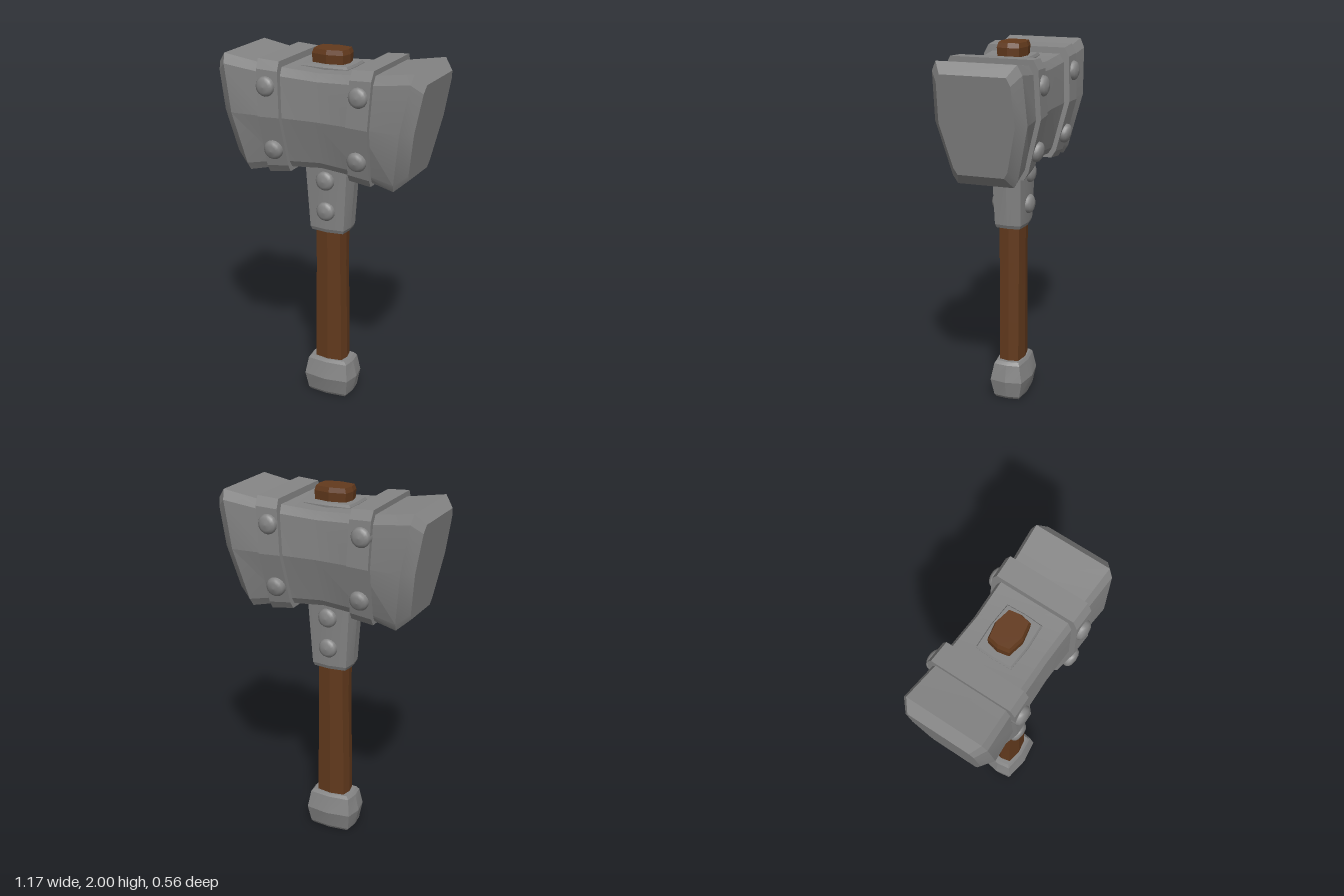
import * as THREE from 'three';
import { toCreasedNormals } from 'three/addons/utils/BufferGeometryUtils.js';

// Skin closed rings (counterclockwise about the travel axis) and cap both ends.
function loft(rings) {
  const n = rings[0].length;
  const pos = rings.flat(2);
  const index = [];
  for (let r = 0; r < rings.length - 1; r++) {
    for (let i = 0; i < n; i++) {
      const a = r * n + i, b = r * n + (i + 1) % n;
      index.push(a, b, b + n, a, b + n, a + n);
    }
  }
  const last = (rings.length - 1) * n;
  for (let i = 1; i < n - 1; i++) {
    index.push(0, i + 1, i, last, last + i, last + i + 1);
  }
  const g = new THREE.BufferGeometry();
  g.setAttribute('position', new THREE.Float32BufferAttribute(pos, 3));
  g.setIndex(index);
  return toCreasedNormals(g, 0.28);
}

// Horizontal rectangle with bowed sides: corners (cx, cz), middles (mx, mz).
function bowedRing([y, cx, mx, cz, mz]) {
  const s = -0.008;
  return [[0, mz], [cx, cz], [mx, 0], [cx, -cz], [0, -mz], [-cx, -cz], [-mx, 0], [-cx, cz]]
    .map(([x, z]) => [x + s, y, z]);
}

// Upright section of the head: height fraction and width fraction of one side.
const SECTION = [[1, 0.86], [0.92, 0.96], [0.52, 1], [0.065, 0.72], [0, 0.62]];

// Section leaning from xTop to xBottom.
function headRing([xTop, xBottom, top, bottom, w]) {
  const half = SECTION.map(([t, f]) => [t, f * w]);
  const mirror = half.map(([t, z]) => [t, -z]).reverse();
  return [...half, ...mirror].map(([t, z]) => [
    xBottom + (xTop - xBottom) * t - 0.008 * (1 - t),
    bottom + (top - bottom) * t,
    z,
  ]);
}

export function createModel() {
  const group = new THREE.Group();
  const metal = new THREE.MeshStandardMaterial({ color: 0x858585 });
  metal.name = 'grey metal';
  const wood = new THREE.MeshStandardMaterial({ color: 0x633a1d });
  wood.name = 'brown wood';

  function add(name, geometry, material) {
    const mesh = new THREE.Mesh(geometry, material);
    mesh.name = name;
    group.add(mesh);
    return mesh;
  }

  // Head: waisted in the middle, flared to bevelled striking faces
  const halfHead = [
    [0.587, 0.492, 1.905, 1.385, 0.2],
    [0.536, 0.42, 1.962, 1.322, 0.244],
    [0.27, 0.235, 1.92, 1.365, 0.226],
  ];
  const headRows = [
    ...halfHead.map(([a, b, ...rest]) => [-a, -b, ...rest]),
    [0, 0, 1.905, 1.385, 0.217],
    ...halfHead.slice().reverse(),
  ];
  add('head', loft(headRows.map(headRing)), metal);

  // Bands around the head
  const inner = [0.207, 0.172, 1.95, 1.348, 0.253];
  const outer = [0.327, 0.296, 1.957, 1.332, 0.257];
  const flip = ([a, b, ...rest]) => [-a, -b, ...rest];
  add('leftBand', loft([inner, outer].map(headRing)), metal);
  add('rightBand', loft([flip(outer), flip(inner)].map(headRing)), metal);

  // Wooden handle and its end showing above the head
  add('handle', loft([
    [0.18, 0.08, 0.092, 0.055, 0.069],
    [0.45, 0.078, 0.088, 0.055, 0.068],
    [0.8, 0.072, 0.082, 0.056, 0.069],
    [1.05, 0.073, 0.083, 0.058, 0.071],
  ].map(bowedRing)), wood);
  add('handleTip', loft([
    [1.88, 0.084, 0.098, 0.056, 0.074],
    [1.975, 0.09, 0.102, 0.062, 0.08],
    [2.0, 0.082, 0.092, 0.056, 0.072],
  ].map(bowedRing)), wood);

  // Plate on top of the head
  add('topPlate', loft([
    [1.88, 0.133, 0.138, 0.1, 0.107],
    [1.915, 0.133, 0.138, 0.1, 0.107],
    [1.928, 0.126, 0.131, 0.094, 0.101],
  ].map(bowedRing)), metal);

  // Collar under the head
  add('collar', loft([
    [1.0, 0.092, 0.1, 0.066, 0.078],
    [1.02, 0.1, 0.11, 0.073, 0.086],
    [1.41, 0.124, 0.138, 0.084, 0.1],
  ].map(bowedRing)), metal);

  // Pommel
  add('pommel', loft([
    [0, 0.108, 0.116, 0.066, 0.078],
    [0.015, 0.118, 0.128, 0.074, 0.087],
    [0.11, 0.132, 0.15, 0.092, 0.112],
    [0.205, 0.118, 0.128, 0.074, 0.087],
    [0.222, 0.104, 0.114, 0.064, 0.076],
  ].map(bowedRing)), metal);

  // Domed rivets, front and back: x, y, surface z, tilt
  const dome = [[0.053, -0.03], [0.053, 0.006], [0.046, 0.018], [0.03, 0.027], [0, 0.031]]
    .map(([r, h]) => new THREE.Vector2(r, h));
  const rivetGeometry = new THREE.LatheGeometry(dome, 16);
  const rivets = [
    [-0.272, 1.82, 0.249, 0], [0.254, 1.82, 0.249, 0],
    [-0.25, 1.475, 0.216, 0.2], [0.233, 1.475, 0.216, 0.2],
    [-0.008, 1.3, 0.094, 0], [-0.008, 1.125, 0.088, 0],
  ];
  for (const side of [1, -1]) {
    for (const [x, y, z, tilt] of rivets) {
      const rivet = add(side > 0 ? 'frontRivet' : 'backRivet', rivetGeometry, metal);
      rivet.position.set(x, y, z * side);
      rivet.rotation.x = side * (Math.PI / 2 + tilt);
    }
  }

  return group;
}
